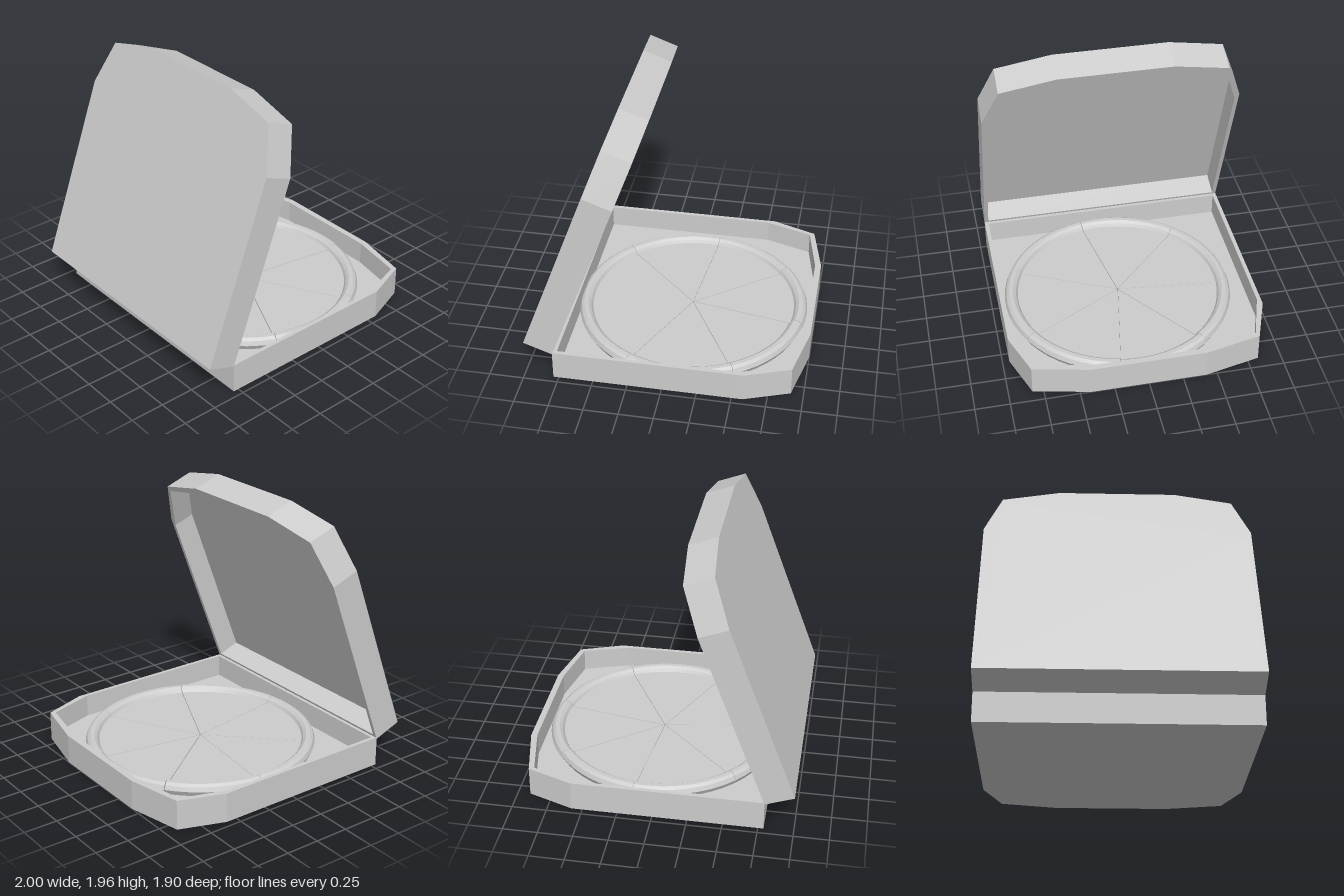
import * as THREE from 'three';
import { toCreasedNormals } from 'three/addons/utils/BufferGeometryUtils.js';

// half outlines from hinge corner to front, mirrored across the centre line
const OUTER = [[0, 0.95], [1.37, 0.95], [1.7, 0.83], [1.79, 0.42]];
const INNER = [[0.03, 0.92], [1.32, 0.92], [1.665, 0.81], [1.745, 0.41]];
const outline = (half) => [...half, ...half.map(([x, z]) => [x, -z]).reverse()]
  .map(([x, z]) => new THREE.Vector2(x, z));

const DEPTH = 0.22, FLOOR = 0.05;

function extrudeUp(shape, depth) {
  const geo = new THREE.ExtrudeGeometry(shape, { depth, bevelEnabled: false });
  return geo.rotateX(-Math.PI / 2).translate(0, -DEPTH, 0);
}

// open tray, with its hinge edge at the origin and its rim at y = 0
function makeTray(name, material) {
  const tray = new THREE.Group();
  tray.name = name;
  const wall = new THREE.Shape(outline(OUTER));
  wall.holes.push(new THREE.Path(outline(INNER)));
  const walls = new THREE.Mesh(extrudeUp(wall, DEPTH), material);
  walls.name = name + 'Walls';
  const panel = new THREE.Mesh(extrudeUp(new THREE.Shape(outline(INNER)), FLOOR), material);
  panel.name = name + 'Panel';
  tray.add(walls, panel);
  return tray;
}

// slice section: flat base, rounded crust, flat topping
const SECTION = [[0, 0.05], [0.835, 0.05], [0.855, 0.09], [0.842, 0.122], [0.82, 0.138],
  [0.79, 0.138], [0.768, 0.122], [0.755, 0.1], [0, 0.1]].map(([r, y]) => new THREE.Vector2(r, y));

function makeSlice(from, to, material) {
  const slice = new THREE.Group();
  slice.name = 'slice';
  const start = Math.PI / 2 - to, length = to - from;
  const body = new THREE.Mesh(
    toCreasedNormals(new THREE.LatheGeometry(SECTION, 8, start, length), 0.4), material);
  body.name = 'sliceBody';
  slice.add(body);
  // cut faces
  for (const angle of [from, to]) {
    const cut = new THREE.Mesh(new THREE.ShapeGeometry(new THREE.Shape(SECTION)), material);
    cut.name = 'cutFace';
    cut.rotation.y = -angle;
    slice.add(cut);
  }
  return slice;
}

export function createModel() {
  const model = new THREE.Group();
  model.name = 'openPizzaBox';
  const grey = new THREE.MeshStandardMaterial({ color: 0xcccccc, side: THREE.DoubleSide });
  grey.name = 'lightGrey';

  const base = makeTray('base', grey);
  base.position.set(-0.79, DEPTH, 0);

  // the lid is the same tray, flipped over and swung open
  const lid = makeTray('lid', grey);
  lid.position.set(-0.79, 0.21, 0);
  lid.rotation.set(Math.PI, 0, THREE.MathUtils.degToRad(69.6), 'ZYX');

  // seven slices, each pushed a little away from the middle
  const pizza = new THREE.Group();
  pizza.name = 'pizza';
  pizza.position.set(0.075, 0, 0.045);
  const cuts = [10, 61, 115, 170, 224, 276, 323, 370].map(THREE.MathUtils.degToRad);
  const push = [0.004, 0.004, 0.005, 0.004, 0.004, 0.003, 0.011];
  push.forEach((d, i) => {
    const slice = makeSlice(cuts[i], cuts[i + 1], grey);
    const mid = (cuts[i] + cuts[i + 1]) / 2;
    slice.position.set(Math.cos(mid) * d, 0, Math.sin(mid) * d);
    pizza.add(slice);
  });

  model.add(base, lid, pizza);
  return model;
}
